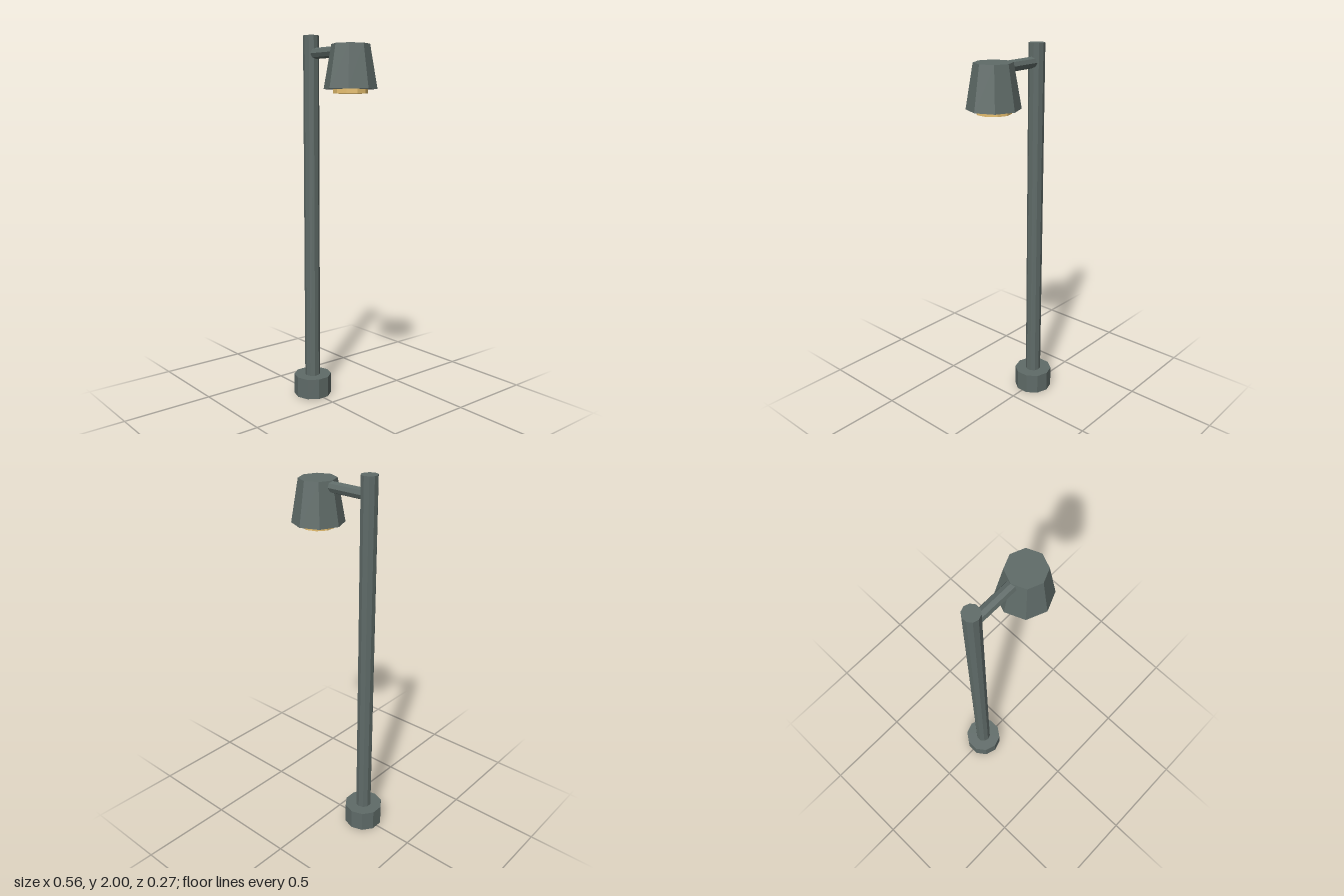
import * as THREE from 'three';

export function createModel() {
  const lamp = new THREE.Group();
  lamp.name = 'streetLamp';

  const metal = new THREE.MeshStandardMaterial({ color: 0x5f6b68, flatShading: true });
  const glow = new THREE.MeshStandardMaterial({ color: 0xe8c070, flatShading: true });

  // Upright faceted cylinder between two heights
  function addPrism(name, x, y0, y1, rTop, rBottom, sides, material) {
    const mesh = new THREE.Mesh(new THREE.CylinderGeometry(rTop, rBottom, y1 - y0, sides), material);
    mesh.position.set(x, (y0 + y1) / 2, 0);
    mesh.name = name;
    lamp.add(mesh);
    return mesh;
  }

  const poleX = -0.18, headX = 0.143;

  // Foot and pole
  addPrism('base', poleX, 0, 0.115, 0.105, 0.105, 10, metal);
  addPrism('pole', poleX, 0.1, 2, 0.0425, 0.0425, 10, metal);

  // Tapered shade with the light disc under it
  addPrism('shade', headX, 1.715, 1.936, 0.097, 0.136, 8, metal);
  addPrism('light', headX, 1.693, 1.73, 0.088, 0.088, 10, glow);

  // Horizontal arm from the pole into the shade
  const arm = addPrism('arm', -0.04, 0, 0.26, 0.029, 0.029, 8, metal);
  arm.rotation.z = Math.PI / 2;
  arm.position.y = 1.905;

  return lamp;
}
